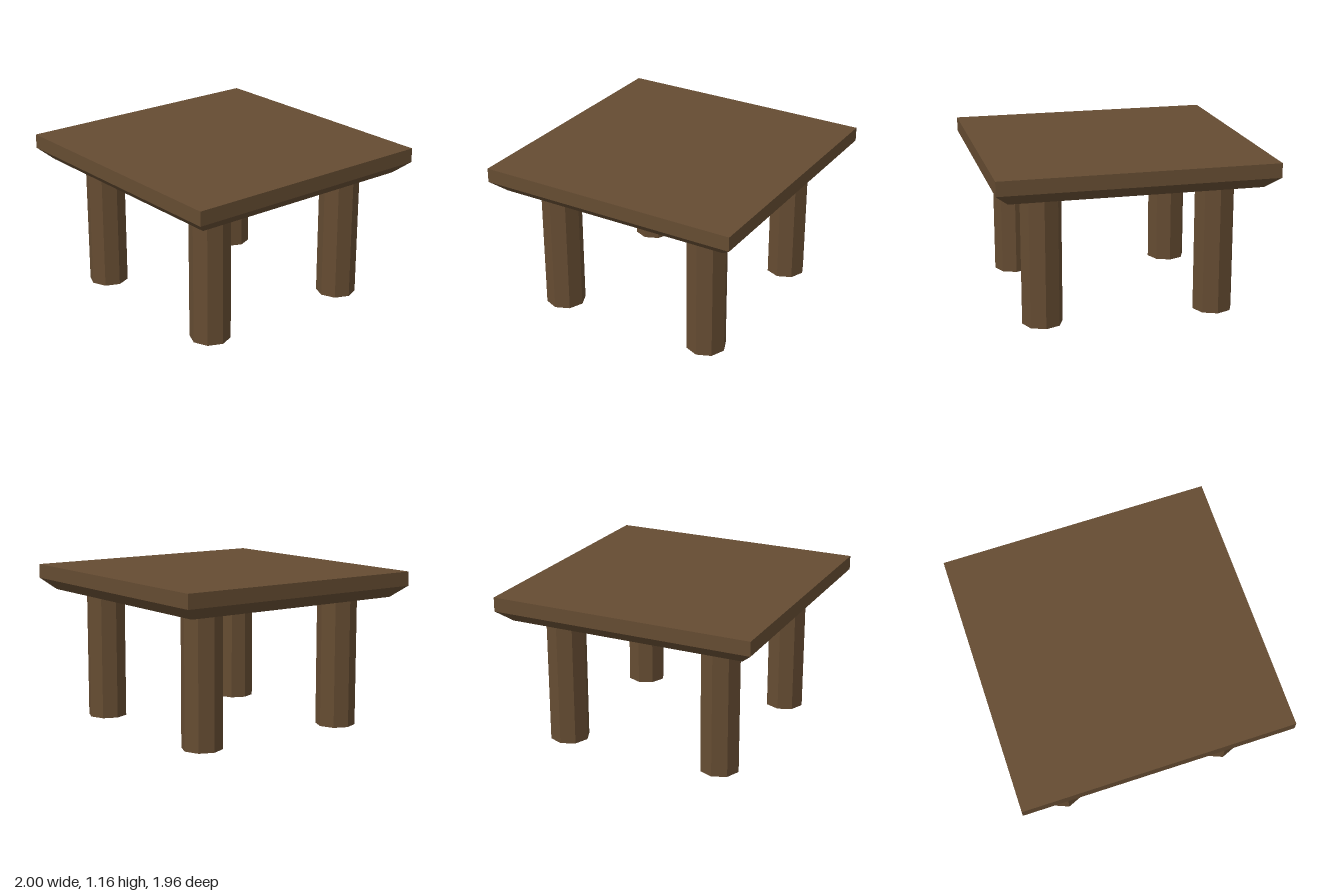
import * as THREE from 'three';

const wood = new THREE.MeshStandardMaterial({ color: 0x654c32, flatShading: true });

// Straight-sided slab between two rectangles [halfX, halfZ]
function slab(name, bottom, top, y0, y1) {
  const geo = new THREE.BoxGeometry(2, y1 - y0, 2);
  const pos = geo.attributes.position;
  for (let i = 0; i < pos.count; i++) {
    const [hx, hz] = pos.getY(i) > 0 ? top : bottom;
    pos.setX(i, pos.getX(i) * hx);
    pos.setZ(i, pos.getZ(i) * hz);
  }
  geo.computeVertexNormals();
  const mesh = new THREE.Mesh(geo, wood);
  mesh.name = name;
  mesh.position.y = (y0 + y1) / 2;
  return mesh;
}

export function createModel() {
  const table = new THREE.Group();
  table.name = 'table';

  // Table top with a bevelled underside
  const top = new THREE.Group();
  top.name = 'tableTop';
  const full = [1, 0.98];
  top.add(slab('topBoard', full, full, 1.055, 1.16));
  top.add(slab('bevelledUnderside', [0.905, 0.885], full, 0.97, 1.055));
  table.add(top);

  // Four octagonal legs
  const legHeight = 0.97;
  const legGeo = new THREE.CylinderGeometry(0.147, 0.147, legHeight, 8);
  for (const [z, end] of [[0.613, 'front'], [-0.613, 'back']]) {
    for (const [x, side] of [[0.633, 'Left'], [-0.633, 'Right']]) {
      const leg = new THREE.Mesh(legGeo, wood);
      leg.name = `${end}${side}Leg`;
      leg.position.set(x, legHeight / 2, z);
      table.add(leg);
    }
  }
  return table;
}
